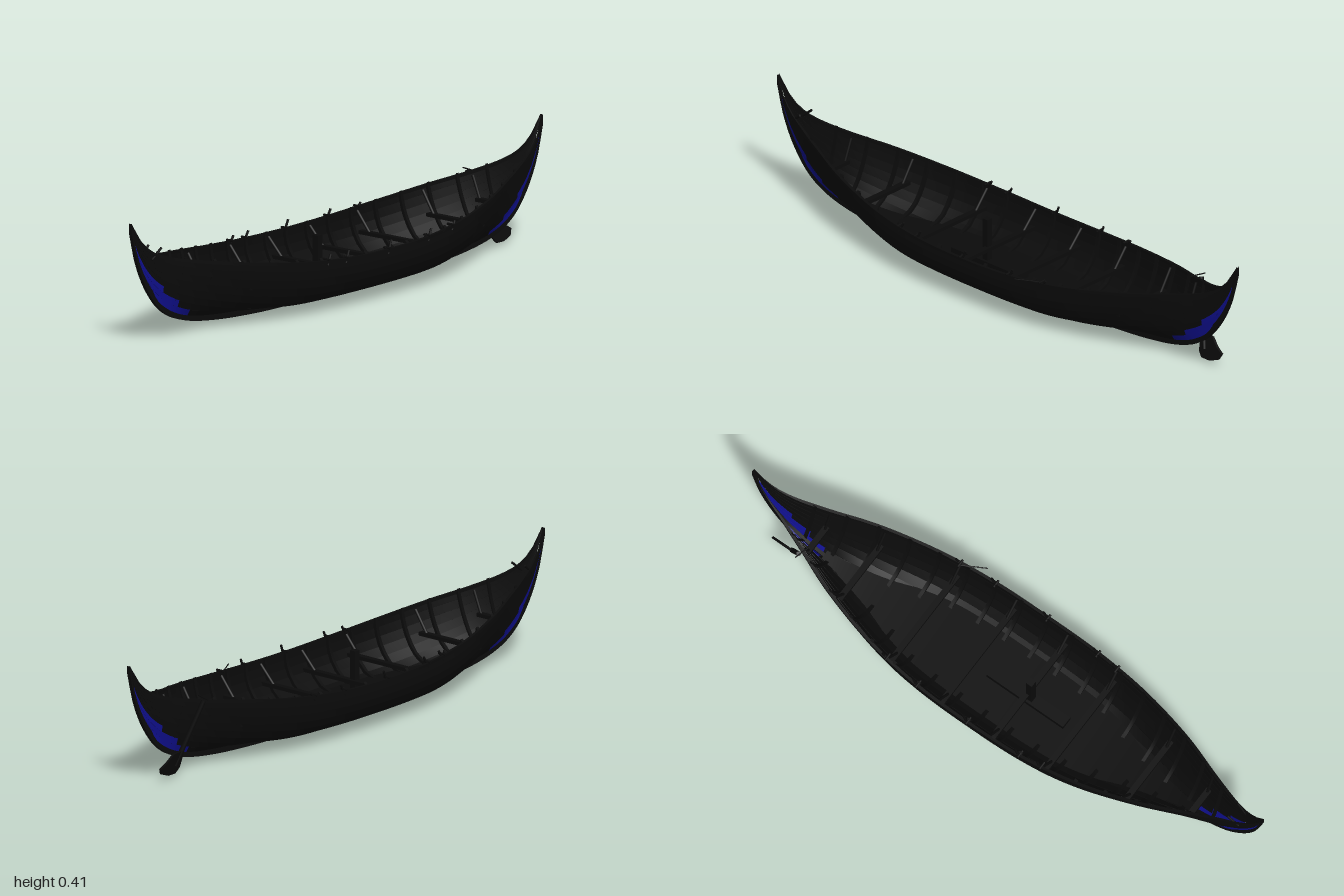
import * as THREE from 'three';
import { toCreasedNormals } from 'three/addons/utils/BufferGeometryUtils.js';

const wood = new THREE.MeshStandardMaterial({ color: 0x0b0b0b, side: THREE.DoubleSide });
const blue = new THREE.MeshStandardMaterial({ color: 0x101090, side: THREE.DoubleSide });
const V = (x, y, z) => new THREE.Vector3(x, y, z);
const lerp = THREE.MathUtils.lerp;

// Half the hull lines, midships to stem: z, half width, sheer height, hull bottom, keel bottom
const half = [
  [0, 0.218, 0.175, 0.026, 0], [0.2, 0.213, 0.18, 0.027, 0.002], [0.4, 0.188, 0.197, 0.03, 0.006],
  [0.6, 0.137, 0.225, 0.042, 0.02], [0.75, 0.08, 0.25, 0.066, 0.046], [0.85, 0.043, 0.272, 0.112, 0.092],
  [0.92, 0.023, 0.3, 0.185, 0.168], [0.97, 0.012, 0.348, 0.28, 0.265], [1, 0.005, 0.405, 0.39, 0.375],
];
const rows = [...half.slice(1).reverse().map(([z, ...r]) => [-z, ...r]), ...half];
const upper = new THREE.CatmullRomCurve3(rows.map(r => V(r[1], r[2], r[0])), false, 'catmullrom');
const lower = new THREE.CatmullRomCurve3(rows.map(r => V(r[3], r[4], r[0])), false, 'catmullrom');

// Station of the hull lines at a given z
function station(z) {
  let lo = 0, hi = 1;
  for (let i = 0; i < 30; i++) {
    const m = (lo + hi) / 2;
    if (upper.getPoint(m).z < z) lo = m; else hi = m;
  }
  const a = upper.getPoint(lo), b = lower.getPoint(lo);
  return { z, w: a.x, sheer: a.y, bottom: b.x, keel: b.y };
}

// Plank edges on the cross-section: round amidships, V-shaped at the ends
const midU = [0, 0.3, 0.52, 0.69, 0.81, 0.9, 0.96, 0.99, 1];
const midV = [0, 0.02, 0.055, 0.15, 0.3, 0.47, 0.65, 0.83, 1];
const endU = [0, 0.2, 0.36, 0.5, 0.62, 0.73, 0.83, 0.92, 1];
function profile(z) {
  const s = station(z), e = THREE.MathUtils.smoothstep(Math.abs(z), 0.25, 0.9);
  return midU.map((u, k) => V(Math.max(0.003, lerp(u, endU[k], e) * s.w),
    lerp(s.bottom, s.sheer, lerp(midV[k], k / 8, e)), z));
}

// Half width of the hull inside at height y
function insideWidth(z, y) {
  const p = profile(z);
  for (let k = 0; k < 8; k++) {
    if (y <= p[k + 1].y) return lerp(p[k].x, p[k + 1].x, Math.max(0, (y - p[k].y) / (p[k + 1].y - p[k].y)));
  }
  return p[8].x;
}

// Solid skinned over equal closed cross-sections, with end caps
function loft(sections) {
  const n = sections[0].length, m = sections.length, pos = [], idx = [];
  sections.forEach(s => s.forEach(p => pos.push(p.x, p.y, p.z)));
  for (let i = 0; i < m - 1; i++) for (let j = 0; j < n; j++) {
    const a = i * n + j, b = i * n + (j + 1) % n;
    idx.push(a, b, b + n, a, b + n, a + n);
  }
  for (let j = 1; j < n - 1; j++) {
    const e = (m - 1) * n;
    idx.push(0, j + 1, j, e, e + j, e + j + 1);
  }
  const g = new THREE.BufferGeometry();
  g.setAttribute('position', new THREE.Float32BufferAttribute(pos, 3));
  g.setIndex(idx);
  return toCreasedNormals(g, 0.6);
}

const mirror = (pts, side) => {
  const out = pts.map(p => V(p.x * side, p.y, p.z));
  return side < 0 ? out.reverse() : out;
};

export function createModel() {
  const ship = new THREE.Group();
  ship.name = 'longboat';
  ship.position.x = -0.006;
  const add = (name, geometry, material = wood) => {
    const mesh = new THREE.Mesh(geometry, material);
    mesh.name = name;
    ship.add(mesh);
    return mesh;
  };
  const box = (name, w, h, d, x, y, z) => {
    const mesh = add(name, new THREE.BoxGeometry(w, h, d));
    mesh.position.set(x, y, z);
    return mesh;
  };
  const rod = (name, a, b, r, sides = 8) => {
    const mesh = add(name, new THREE.CylinderGeometry(r, r, a.distanceTo(b), sides));
    mesh.position.copy(a).lerp(b, 0.5);
    mesh.quaternion.setFromUnitVectors(V(0, 1, 0), b.clone().sub(a).normalize());
  };
  const along = (z0, z1, n, fn) => Array.from({ length: n + 1 }, (_, i) => fn(lerp(z0, z1, i / n)));

  // Overlapping planks; the lower ones turn blue towards the stems
  const plank = (k, side, z0, z1, n, material) => {
    add(material === blue ? 'paintedPlankEnd' : 'plank', loft(along(z0, z1, n, z => {
      const p = profile(z), a = p[k], b = p[k + 1];
      const lap = 0.005 * Math.min(1, station(z).w / 0.06);
      const d = b.clone().sub(a).normalize(), out = V(d.y, -d.x, 0);
      return mirror([a.clone().addScaledVector(out, lap), b.clone().addScaledVector(out, lap * 0.2),
        b.clone().addScaledVector(out, -lap * 0.5), a.clone().addScaledVector(out, -lap * 0.1)], side);
    })), material);
  };
  const paintStart = [0.73, 0.79, 0.86];
  for (const side of [-1, 1]) {
    for (let k = 0; k < 8; k++) {
      const start = paintStart[k], end = start ? 0.98 : 1;
      plank(k, side, -(start ?? 1), start ?? 1, 64, wood);
      if (start) for (const dir of [-1, 1]) {
        const z = [dir * start, dir * end, dir].sort((a, b) => a - b);
        plank(k, side, z[0], z[1], 16, dir > 0 ? blue : wood);
        plank(k, side, z[1], z[2], 16, dir > 0 ? wood : blue);
      }
    }
    // Gunwale
    add('gunwale', loft(along(-0.99, 0.99, 80, z => {
      const s = station(z), t = 0.005 * Math.min(1, s.w / 0.05);
      return mirror([V(s.w + t, s.sheer - 0.008, z), V(s.w + t, s.sheer + 0.002, z),
        V(s.w - t, s.sheer + 0.002, z), V(s.w - t, s.sheer - 0.008, z)], side);
    })));
  }

  // Keel sweeping up into both stems
  add('keelAndStems', loft(along(-1, 1, 160, z => {
    const s = station(z), top = Math.min(s.bottom + 0.012, s.sheer + 0.003);
    return [V(0.006, s.keel, z), V(0.006, top, z), V(-0.006, top, z), V(-0.006, s.keel, z)];
  })));

  // Ribs following the inside of the planks
  for (let i = -8; i <= 8; i++) {
    const z = i * 0.1;
    for (const side of [-1, 1]) {
      add('rib', loft(profile(z).map(p => mirror([V(p.x, p.y, z - 0.006), V(p.x, p.y, z + 0.006),
        V(p.x * 0.95, p.y + 0.009, z + 0.006), V(p.x * 0.95, p.y + 0.009, z - 0.006)], side))));
    }
  }

  // Crossbeams with short knees at their ends
  for (const z of [-0.75, -0.58, -0.33, -0.12, 0.08, 0.28, 0.55, 0.75]) {
    const s = station(z), y = lerp(s.bottom, s.sheer, 0.52), w = insideWidth(z, y);
    box('crossbeam', w * 2, 0.012, 0.02, 0, y, z);
    for (const side of [-1, 1]) {
      const yTop = s.sheer - 0.012;
      rod('knee', V(side * w * 0.78, y, z), V(side * (insideWidth(z, yTop) - 0.004), yTop, z), 0.005, 6);
    }
  }

  // Floorboards
  add('floor', loft(along(-0.72, 0.72, 36, z => {
    const s = station(z), y = s.bottom + 0.018, w = insideWidth(z, y) * 0.96;
    return [V(w, y - 0.004, z), V(w, y, z), V(-w, y, z), V(-w, y - 0.004, z)];
  })));

  // Mast step and stump
  box('mastStep', 0.04, 0.025, 0.3, 0, 0.05, 0.08);
  box('mastStump', 0.022, 0.15, 0.022, 0, 0.13, 0.09);

  // Rowlock pegs along the gunwales
  for (const z of [-0.33, -0.2, 0, 0.2, 0.28]) for (const side of [-1, 1]) {
    const s = station(z);
    rod('rowlockPeg', V(side * s.w, s.sheer - 0.015, z), V(side * (s.w - 0.003), 0.203, z - 0.018), 0.004, 6);
    rod('rowlockBar', V(side * (s.w - 0.018), s.sheer + 0.004, z), V(side * (s.w + 0.01), s.sheer + 0.004, z), 0.004, 6);
  }
  rod('looseSpar', V(0.19, 0.19, -0.33), V(0.234, 0.19, -0.25), 0.002, 6);

  // Mooring pegs at the bow
  for (const side of [-1, 1]) {
    rod('mooringPeg', V(side * 0.022, 0.275, 0.92), V(side * 0.027, 0.308, 0.88), 0.004, 6);
  }

  // Steering oar on the right quarter
  const outline = new THREE.Shape([[-0.795, 0.09], [-0.845, 0.085], [-0.87, 0.06], [-0.895, 0.045],
    [-0.885, 0.025], [-0.85, 0.012], [-0.815, 0.012], [-0.8, 0.03]].map(([z, y]) => new THREE.Vector2(-z, y)));
  const blade = new THREE.ExtrudeGeometry(outline, { depth: 0.008, bevelEnabled: false }).rotateY(Math.PI / 2);
  const p = blade.attributes.position;
  for (let i = 0; i < p.count; i++) p.setX(i, p.getX(i) - 0.032 - 0.28 * p.getY(i));
  blade.computeVertexNormals();
  add('rudderBlade', blade);
  rod('rudderStock', V(-0.038, 0.04, -0.82), V(-0.097, 0.25, -0.75), 0.008);
  rod('tiller', V(-0.115, 0.256, -0.75), V(-0.062, 0.258, -0.735), 0.002, 6);
  return ship;
}
